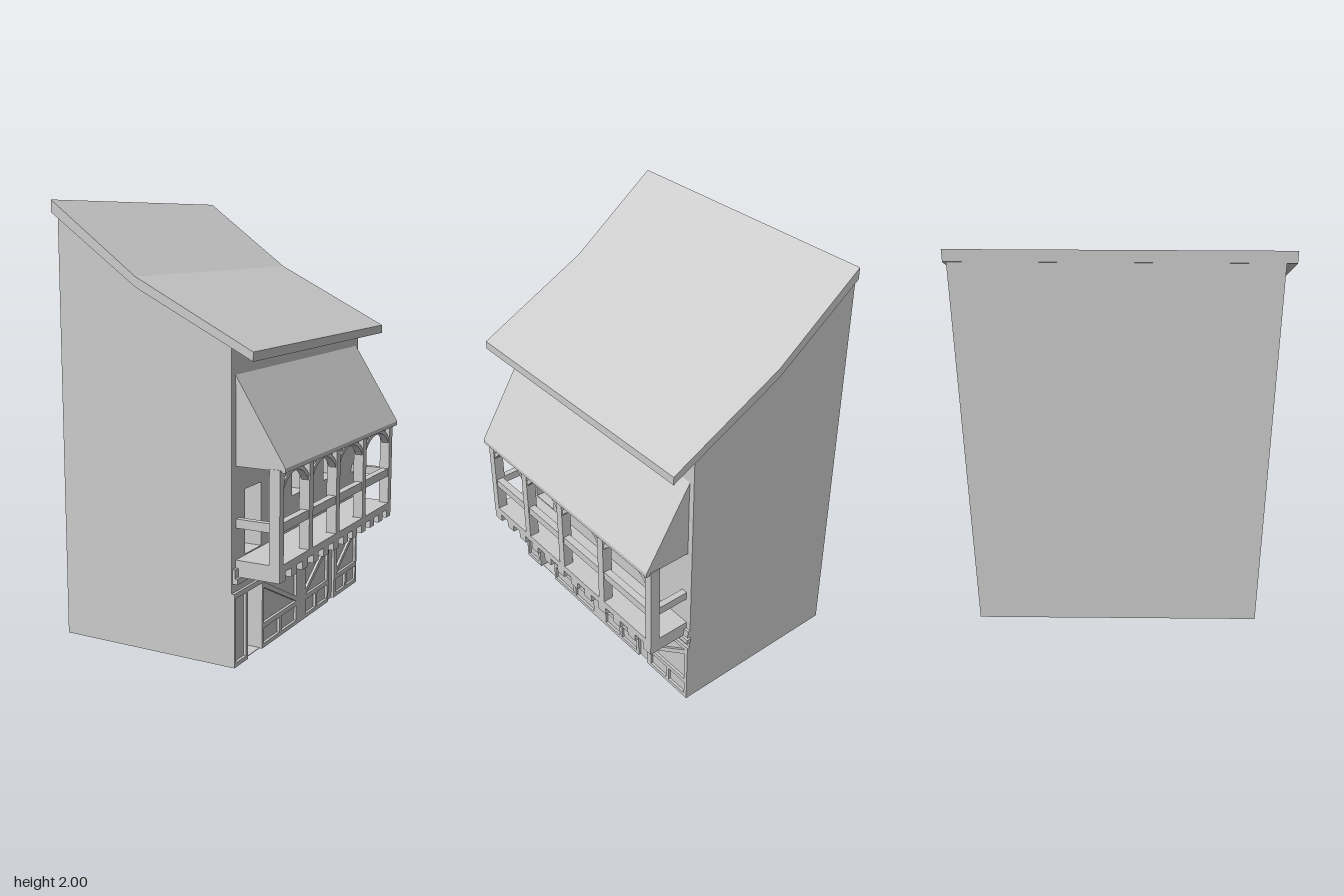
import * as THREE from 'three';

const MAT = new THREE.MeshStandardMaterial({ color: 0xcccccc, flatShading: true });

export function createModel() {
  const root = new THREE.Group();
  root.name = 'timberHouse';
  const house = new THREE.Group();
  house.name = 'house';
  house.rotation.y = 0.11; // the house stands slightly turned
  root.add(house);

  const add = (name, geo) => {
    const m = new THREE.Mesh(geo, MAT);
    m.name = name;
    house.add(m);
    return m;
  };
  // box from its limits on each axis
  const box = (name, x0, x1, y0, y1, z0, z1) =>
    add(name, new THREE.BoxGeometry(x1 - x0, y1 - y0, Math.abs(z1 - z0))
      .translate((x0 + x1) / 2, (y0 + y1) / 2, (z0 + z1) / 2));
  // x-y profile swept along z
  const sweep = (name, pts, z0, z1) =>
    add(name, new THREE.ExtrudeGeometry(new THREE.Shape(pts.map(p => new THREE.Vector2(...p))),
      { depth: z1 - z0, bevelEnabled: false }).translate(0, 0, z0));
  // shape drawn on the facade (u = -z, v = y), thickened along x
  const facing = (name, shape, x0, x1) =>
    add(name, new THREE.ExtrudeGeometry(shape, { depth: x1 - x0, bevelEnabled: false, curveSegments: 12 })
      .rotateY(Math.PI / 2).translate(x0, 0, 0));
  const rect = (Type, z0, z1, y0, y1) => new Type([
    new THREE.Vector2(-z0, y0), new THREE.Vector2(-z1, y0),
    new THREE.Vector2(-z1, y1), new THREE.Vector2(-z0, y1)]);

  // Body and kinked main roof
  const W = 0.325, D = 0.225, ZF = 0.655, ZB = -0.69;
  sweep('houseBody', [[-0.553, 0], [D, 0], [D, 1], [W, 1], [W, 1.408], [-0.118, 1.63], [-0.553, 1.945]], ZB, ZF);
  sweep('mainRoof', [[-0.555, 1.945], [-0.118, 1.63], [0.45, 1.345], [0.45, 1.385], [-0.118, 1.675], [-0.555, 2]], -0.705, 0.698);

  // Facade with openings
  const facade = rect(THREE.Shape, ZF, ZB, 0, 1);
  [[0.53, 0.397, 0.003, 0.31], [0.537, 0.387, 0.48, 0.77], [0.077, -0.075, 0.64, 0.77], [-0.278, -0.443, 0.64, 0.77]]
    .forEach(h => facade.holes.push(rect(THREE.Path, ...h)));
  facing('facadeWall', facade, D, W);

  // Ground floor timber frame
  const T = 0.338;
  box('topPlate', W, T, 0.31, 0.333, ZB, ZF);
  [[0.655, 0.64], [0.548, 0.53], [0.397, 0.382], [0.045, 0.032], [-0.04, -0.058],
    [-0.31, -0.328], [-0.395, -0.425], [-0.672, ZB]].forEach(([a, b]) => box('groundPost', W, T, 0, 0.31, b, a));
  box('postPanel', W, T, 0, 0.31, -0.04, 0.032);
  box('sidePanelSill', W, T, 0, 0.02, 0.548, 0.64);
  // bays: [start, end, brace rises towards the start]
  [[0.382, 0.045, true], [-0.058, -0.31, false], [-0.425, -0.672, false]].forEach(([a, b, rising]) => {
    box('sill', W, T, 0, 0.02, b, a);
    box('midRail', W, T, 0.093, 0.117, b, a);
    const mid = (a + b) / 2;
    box('shortStud', W, T, 0.02, 0.093, mid - 0.01, mid + 0.01);
    const [lo, hi] = rising ? [b, a] : [a, b];
    const brace = new THREE.Shape();
    brace.moveTo(-lo, 0.117);
    brace.lineTo(-lo, 0.142);
    brace.lineTo(-hi, 0.31);
    brace.lineTo(-hi, 0.285);
    facing('diagonalBrace', brace, W, T);
  });
  box('ledge', W, 0.35, 0.375, 0.4, -0.7, 0.648);
  box('wallBeam', W, T, 0.4, 0.44, ZB, 0.648);

  // Balcony floor on joists
  const B0 = -0.665, B1 = 0.62, OUT = 0.535;
  box('balconyFloor', W, OUT, 0.44, 0.475, B0, B1);
  const joists = 12;
  for (let i = 0; i < joists; i++) {
    const z = B0 + 0.03 + (B1 - B0 - 0.06) * i / (joists - 1);
    box('joist', W, OUT, 0.4, 0.44, z - 0.027, z + 0.027);
  }

  // Balcony posts, rails and arches
  const posts = [0.6, 0.31, 0.017, -0.3, -0.645];
  posts.forEach((z, i) => {
    box('balconyPost', 0.485, OUT, 0.475, 0.885, z - 0.02, z + 0.02);
    if (i === posts.length - 1) return;
    const a = z - 0.02, b = posts[i + 1] + 0.02, m = (a + b) / 2;
    box('frontRail', 0.495, 0.53, 0.615, 0.655, b, a);
    const arch = new THREE.Shape();
    arch.moveTo(-a, 0.79);
    arch.quadraticCurveTo(-a + 0.05, 0.86, -m, 0.86);
    arch.quadraticCurveTo(-b - 0.05, 0.86, -b, 0.79);
    arch.lineTo(-b, 0.82);
    arch.quadraticCurveTo(-b - 0.05, 0.878, -m, 0.878);
    arch.quadraticCurveTo(-a + 0.05, 0.878, -a, 0.82);
    facing('archBrace', arch, 0.495, 0.53);
    // small struts above the arch ends
    [a - 0.04, b + 0.04].forEach(s => box('archStrut', 0.5, 0.525, 0.84, 0.88, s - 0.008, s + 0.008));
  });
  box('balconyTopBeam', 0.485, OUT, 0.872, 0.89, B0, B1);
  [B1 - 0.035, B0 + 0.005].forEach(z => box('sideRail', W, 0.49, 0.615, 0.655, z, z + 0.03));

  // Balcony lean-to roof with closed gable ends
  sweep('balconyRoof', [[W, 1.235], [0.545, 0.88], [0.56, 0.88], [0.56, 0.9], [W, 1.275]], B0, B1);
  [B0 + 0.003, B1 - 0.023].forEach(z =>
    sweep('balconyGable', [[W, 0.885], [0.54, 0.885], [W, 1.24]], z, z + 0.02));

  return root;
}
